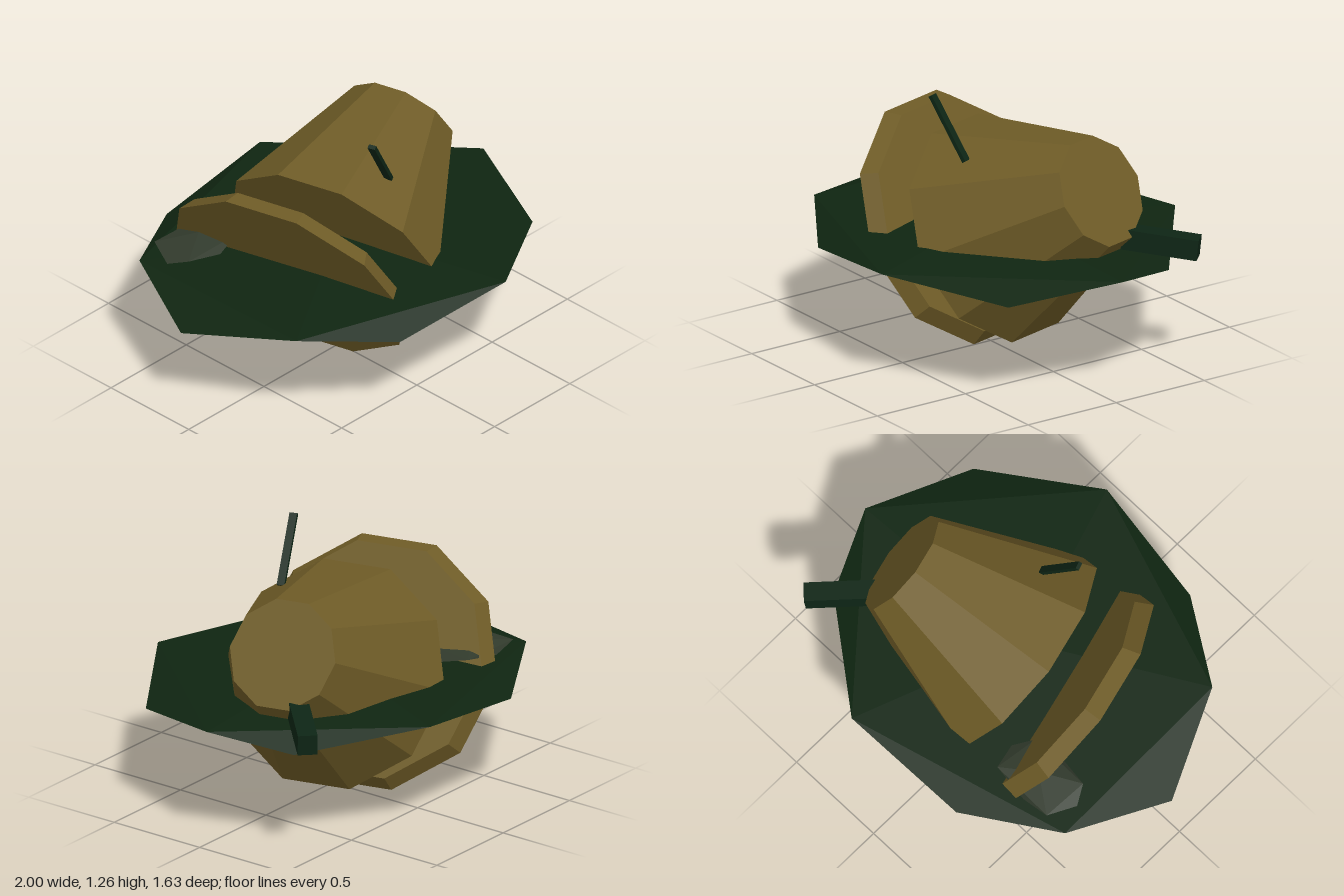
import * as THREE from 'three';
import { ConvexGeometry } from 'three/addons/geometries/ConvexGeometry.js';

const material = (name, color) => {
  const m = new THREE.MeshStandardMaterial({ color });
  m.name = name;
  return m;
};
const V = (x, y, z) => new THREE.Vector3(x, y, z);

export function createModel() {
  const group = new THREE.Group();
  const wood = material('woodBrown', 0x6f5c27);
  const leaf = material('leafGreen', 0x0f2511);
  const stem = material('stemGreen', 0x0d2515);
  const stone = material('mossGrey', 0x313a2c);

  const add = (name, geometry, mat) => {
    const mesh = new THREE.Mesh(geometry, mat);
    mesh.name = name;
    group.add(mesh);
    return mesh;
  };

  // Flat pad: two apexes and a rim that zigzags up and down
  const rim = [
    [-1, -0.05], [-0.78, -0.53], [-0.33, -0.79], [0.32, -0.82], [0.83, -0.42],
    [1, -0.04], [0.8, 0.47], [0.27, 0.81], [-0.35, 0.73], [-0.76, 0.46],
  ];
  const padPoints = rim.map(([x, z], i) => V(x, i % 2 ? 0.587 : 0.511, z));
  padPoints.push(V(0, 0.628, 0), V(0, 0.462, 0));
  add('pad', new ConvexGeometry(padPoints), leaf);

  // Ten-sided pieces share one leaning axis, with a flat side uppermost
  const axis = V(0.855, 0.465, -0.226).normalize();
  const up = V(0, 1, 0).addScaledVector(axis, -axis.y).normalize();
  const lean = new THREE.Matrix4().makeBasis(V(0, 0, 0).crossVectors(axis, up), axis, up);
  const leaningDrum = (name, base, rBase, rEnd, length) => {
    const g = new THREE.CylinderGeometry(rEnd, rBase, length, 10, 1, false, Math.PI / 10)
      .translate(0, length / 2, 0).toNonIndexed();
    g.computeVertexNormals();
    const mesh = add(name, g, wood);
    mesh.quaternion.setFromRotationMatrix(lean);
    mesh.position.copy(base);
  };
  leaningDrum('body', V(0, 0.55, -0.025), 0.545, 0.265, 0.72);
  leaningDrum('lid', V(-0.31, 0.51, -0.02), 0.606, 0.563, 0.08);

  // Square bars running between two points
  const bar = (name, from, to, width, height) => {
    const mesh = add(name, new THREE.BoxGeometry(width, height, from.distanceTo(to)), stem);
    mesh.position.copy(from).add(to).multiplyScalar(0.5);
    mesh.lookAt(to);
  };
  bar('sprig', V(0.108, 0.966, 0.216), V(-0.072, 1.253, 0.28), 0.037, 0.02);
  bar('stem', V(0.64, 0.648, -0.297), V(0.892, 0.612, -0.548), 0.092, 0.1);

  // Low stone resting on the pad beside the lid
  const stoneRim = [
    [-0.73, -0.4], [-0.67, -0.54], [-0.53, -0.55], [-0.34, -0.53],
    [-0.305, -0.4], [-0.37, -0.31], [-0.5, -0.28], [-0.68, -0.31],
  ];
  const stonePoints = stoneRim.map(([x, z], i) => V(x, i % 2 ? 0.635 : 0.605, z));
  stonePoints.push(V(-0.5, 0.662, -0.42), V(-0.52, 0.56, -0.42));
  add('stone', new ConvexGeometry(stonePoints), stone);

  return group;
}
